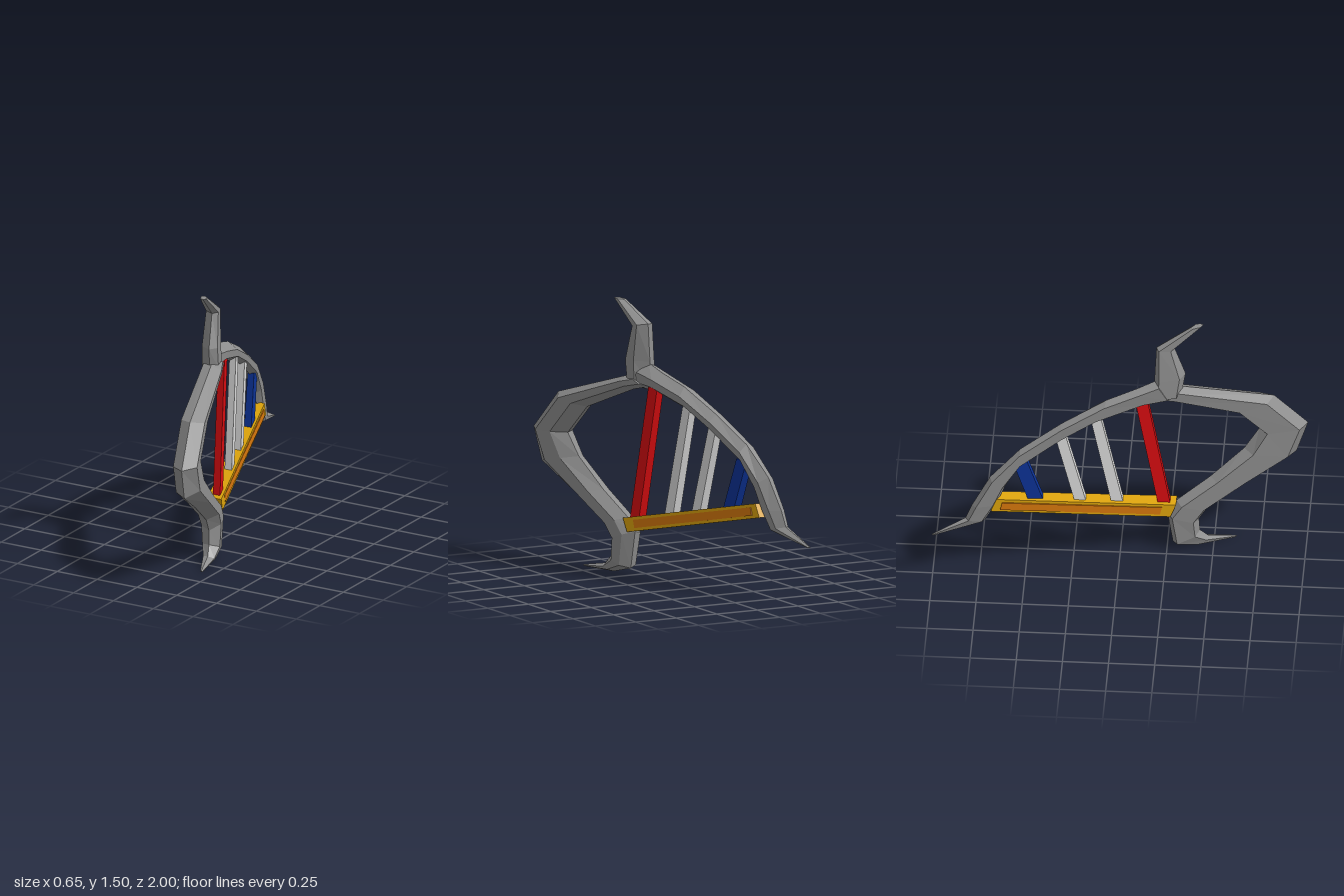
import * as THREE from 'three';

const mat = (name, color) => {
  const m = new THREE.MeshStandardMaterial({ color });
  m.name = name;
  return m;
};

// The harp lies in an upright plane turned about y: x follows z.
const SLOPE = 0.3;
const place = (z, y, w) => new THREE.Vector3(SLOPE * z + w, y, z);

// Skin a row of equal rings, cap both ends and keep hard facets.
function loft(name, rings, material) {
  const n = rings[0].length, tris = [];
  for (let i = 0; i < rings.length - 1; i++) {
    for (let j = 0; j < n; j++) {
      const k = (j + 1) % n;
      const a = rings[i][j], b = rings[i][k], c = rings[i + 1][k], d = rings[i + 1][j];
      tris.push([a, b, c], [a, c, d]);
    }
  }
  const last = rings[rings.length - 1];
  for (let j = 1; j < n - 1; j++) {
    tris.push([rings[0][0], rings[0][j + 1], rings[0][j]], [last[0], last[j], last[j + 1]]);
  }
  // Turn the skin outward if its signed volume is negative
  const cross = new THREE.Vector3();
  let volume = 0;
  for (const [a, b, c] of tris) volume += a.dot(cross.crossVectors(b, c));
  const points = tris.flatMap(([a, b, c]) => (volume < 0 ? [a, c, b] : [a, b, c]));
  const geo = new THREE.BufferGeometry().setFromPoints(points);
  geo.computeVertexNormals();
  const mesh = new THREE.Mesh(geo, material);
  mesh.name = name;
  return mesh;
}

// Six-sided frame section: [share of the way from outer to inner edge, side offset]
const SECTION = [[0, -0.02], [0.36, 0.05], [0.74, 0.045], [1, -0.01], [0.82, -0.08], [0.16, -0.085]];

// Station: outer z, outer y, inner z, inner y, thickness, side shift
const frame = (name, stations, material) => loft(name, stations.map(([oz, oy, iz, iy, t, s]) =>
  SECTION.map(([f, w]) => place(oz + (iz - oz) * f, oy + (iy - oy) * f, w * t + s))), material);

// Four-sided bar; each end is [z, y, half size in z, half size in y, low w, high w]
const bar = (name, ends, material) => loft(name, ends.map(([z, y, hz, hy, w0, w1]) => [
  place(z + hz, y + hy, w0), place(z + hz, y + hy, w1),
  place(z - hz, y - hy, w1), place(z - hz, y - hy, w0),
]), material);

export function createModel() {
  const group = new THREE.Group();
  const grey = mat('stoneGrey', 0x8e8e8e);
  const gold = mat('gold', 0xdca30c);
  const orange = mat('orange', 0xd8780c);
  const red = mat('red', 0xd80c10);
  const white = mat('paleGrey', 0xdadada);
  const blue = mat('blue', 0x0c3296);

  // Bulging front pillar, ending in a pointed foot
  group.add(frame('frontPillar', [
    [0.28, 1.10, 0.17, 1.045, 0.75, -0.02],
    [0.34, 1.085, 0.27, 1.02, 0.85, -0.01],
    [0.82, 0.935, 0.60, 0.88, 1, 0],
    [1.00, 0.72, 0.74, 0.72, 1, 0],
    [0.94, 0.54, 0.66, 0.60, 1, 0],
    [0.70, 0.40, 0.48, 0.44, 0.95, 0],
    [0.475, 0.25, 0.30, 0.31, 0.9, 0],
    [0.42, 0.17, 0.25, 0.24, 0.85, 0],
    [0.425, 0.09, 0.28, 0.035, 0.75, 0],
    [0.47, 0.04, 0.40, 0.003, 0.5, 0],
    [0.62, 0.012, 0.61, 0.003, 0.1, -0.005],
  ], grey));

  // Curved neck sweeping down to a pointed tail
  group.add(frame('neck', [
    [0.20, 1.17, 0.27, 1.03, 0.8, -0.035],
    [0.10, 1.13, 0.13, 1.025, 0.8, -0.03],
    [-0.07, 1.075, -0.14, 0.945, 0.75, -0.025],
    [-0.31, 0.955, -0.31, 0.855, 0.7, -0.02],
    [-0.53, 0.82, -0.53, 0.71, 0.65, -0.02],
    [-0.69, 0.66, -0.61, 0.58, 0.6, -0.02],
    [-0.785, 0.49, -0.65, 0.48, 0.55, -0.02],
    [-0.82, 0.405, -0.715, 0.375, 0.45, -0.02],
    [-1.00, 0.32, -0.99, 0.313, 0.1, -0.02],
  ], grey));

  // Horn rising above the joint
  group.add(frame('horn', [
    [0.18, 1.06, 0.33, 1.06, 0.8, -0.03],
    [0.185, 1.18, 0.35, 1.18, 0.75, -0.03],
    [0.195, 1.385, 0.29, 1.365, 0.6, -0.03],
    [0.38, 1.495, 0.445, 1.5, 0.3, -0.045],
  ], grey));

  // Sloping sound beam
  group.add(bar('beam', [
    [0.285, 0.275, 0.015, 0.037, -0.06, 0.025],
    [-0.67, 0.48, 0.015, 0.037, -0.055, 0.02],
  ], gold));

  // Thin inlays on both sides of the beam
  for (const [name, w] of [['rightInlay', -0.0605], ['leftInlay', 0.0225]]) {
    group.add(bar(name, [
      [0.22, 0.289, 0.005, 0.022, w - 0.003, w + 0.004],
      [-0.63, 0.471, 0.005, 0.022, w - 0.003, w + 0.004],
    ], orange));
  }

  // Strings: bottom z, y, top z, y, bottom and top half width, material
  const strings = [
    ['redString', 0.24, 0.29, 0.11, 1.06, 0.031, 0.031, red],
    ['longPaleString', -0.01, 0.35, -0.13, 0.97, 0.029, 0.026, white],
    ['shortPaleString', -0.205, 0.39, -0.32, 0.89, 0.028, 0.026, white],
    ['blueString', -0.44, 0.44, -0.53, 0.735, 0.036, 0.035, blue],
  ];
  for (const [name, z0, y0, z1, y1, h0, h1, material] of strings) {
    group.add(bar(name, [
      [z0, y0, h0, 0.006, -0.036, 0.008],
      [z1, y1, h1, 0.006, -0.04, 0.0],
    ], material));
  }

  return group;
}
